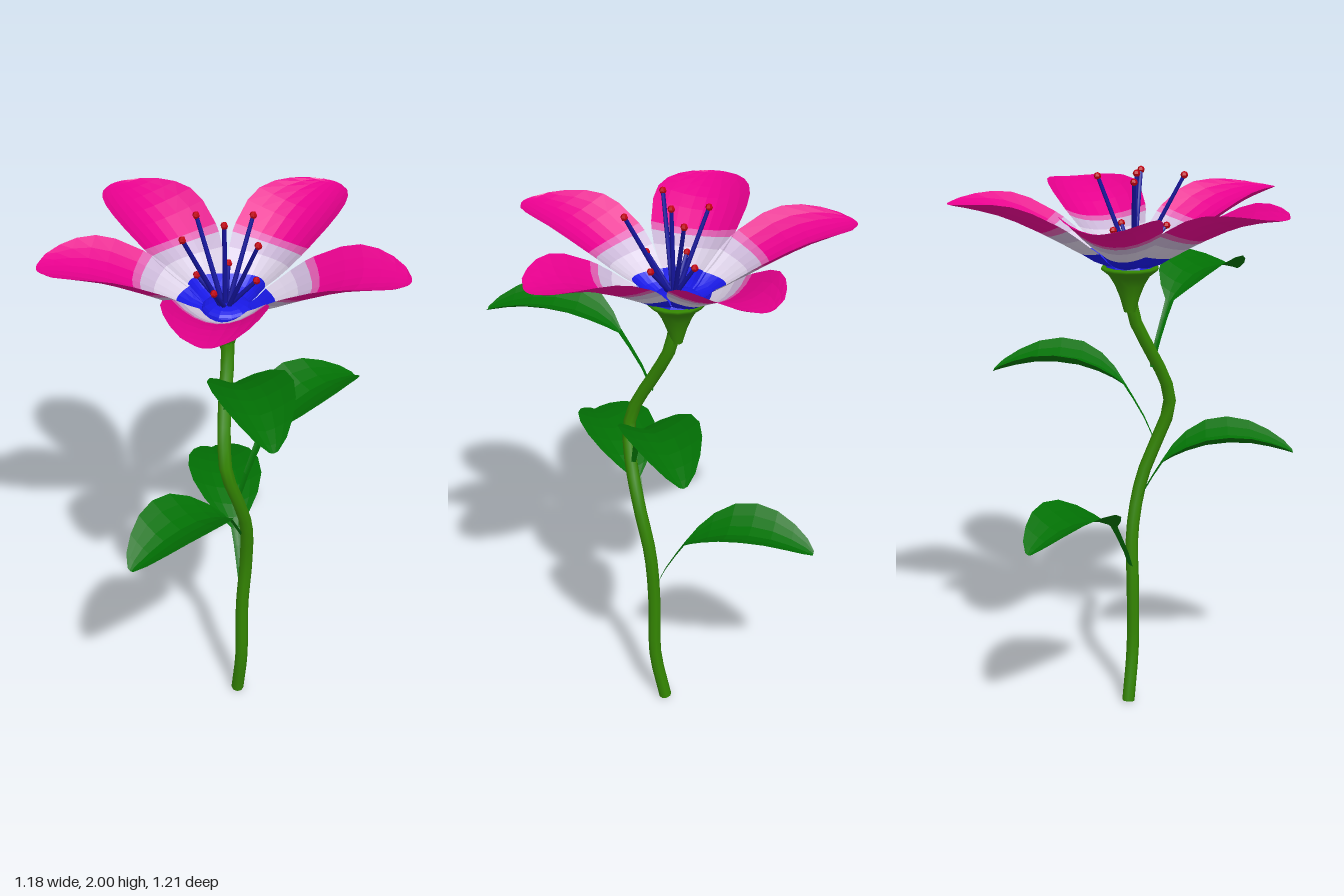
import * as THREE from 'three';

const mat = (name, color, flatShading = true, side = THREE.DoubleSide) =>
  new THREE.MeshStandardMaterial({ name, color, side, flatShading });
const V = (x, y, z) => new THREE.Vector3(x, y, z);

// Surface through rows of points: point(row, u) with u running from -1 to 1
function sheet(rows, cols, point) {
  const pos = [], index = [];
  rows.forEach((row, i) => {
    for (let j = 0; j <= cols; j++) {
      pos.push(...point(row, (j / cols) * 2 - 1));
      if (i && j) {
        const d = i * (cols + 1) + j, c = d - 1, b = d - cols - 1, a = b - 1;
        index.push(a, c, b, b, c, d);
      }
    }
  });
  const g = new THREE.BufferGeometry();
  g.setAttribute('position', new THREE.Float32BufferAttribute(pos, 3));
  g.setIndex(index);
  g.computeVertexNormals();
  return g;
}

export function createModel() {
  const model = new THREE.Group();
  model.name = 'flower';
  const green = mat('stemGreen', 0x348602, false, THREE.FrontSide);
  const leafGreen = mat('leafGreen', 0x027004);
  const magenta = mat('petalMagenta', 0xe8008e);
  const pink = mat('petalPink', 0xdc5cae);
  const lilac = mat('petalLilac', 0xc8b5d5);
  const pale = mat('petalPale', 0xd9cee4);
  const blue = mat('petalBlue', 0x1818e4);
  const navy = mat('stamenBlue', 0x14149c, false, THREE.FrontSide);
  const red = mat('antherRed', 0xc00010, true, THREE.FrontSide);
  const add = (parent, name, geo, material) => {
    const m = new THREE.Mesh(geo, material);
    m.name = name;
    parent.add(m);
    return m;
  };

  // Winding stem
  const path = new THREE.CatmullRomCurve3([
    V(-0.006, 0, 0.063), V(-0.018, 0.2, 0.098), V(-0.018, 0.45, 0.1), V(-0.014, 0.66, 0.115),
    V(-0.045, 0.86, 0.147), V(-0.105, 1.02, 0.16), V(-0.143, 1.13, 0.155), V(-0.135, 1.22, 0.133),
    V(-0.08, 1.36, 0.075), V(-0.03, 1.48, 0.033), V(-0.014, 1.6, 0.013),
  ]);
  add(model, 'stem', new THREE.TubeGeometry(path, 24, 0.023, 8), green);
  const foot = add(model, 'stemEnd', new THREE.CircleGeometry(0.023, 8), green);
  foot.rotation.x = Math.PI / 2;
  foot.position.set(-0.006, 0.001, 0.063);

  // Leaves with their flat stalks: [distance, height, half width]
  const leafRows = [
    [0, 0, 0.008], [0.04, 0.09, 0.012], [0.08, 0.16, 0.014], [0.115, 0.215, 0.018],
    [0.15, 0.238, 0.06], [0.2, 0.262, 0.1], [0.27, 0.285, 0.128], [0.35, 0.295, 0.132],
    [0.43, 0.293, 0.115], [0.5, 0.28, 0.085], [0.555, 0.265, 0.05], [0.585, 0.255, 0.015],
  ];
  const leafGeo = sheet(leafRows, 6, ([s, y, w], u) =>
    [u * w, y + 0.42 * w * Math.abs(u) ** 1.5, s]);
  // base point and the horizontal direction of each tip
  [
    [V(-0.018, 0.5, 0.098), 0.295, -0.5],
    [V(-0.008, 0.71, 0.125), -0.58, 0.055],
    [V(-0.092, 0.995, 0.155), 0.59, -0.025],
    [V(-0.086, 1.295, 0.08), -0.255, 0.5],
  ].forEach(([base, dx, dz], i) => {
    const leaf = add(model, 'leaf' + (i + 1), leafGeo, leafGreen);
    leaf.position.copy(base);
    leaf.rotation.y = Math.atan2(dx, dz);
  });

  const head = new THREE.Group();
  head.name = 'flowerHead';
  head.position.set(-0.016, 0, 0.013);
  model.add(head);

  // Green cup under the petals
  const cup = [[0.02, 1.51], [0.034, 1.56], [0.052, 1.605], [0.072, 1.638], [0.1, 1.66], [0.098, 1.668], [0, 1.67]];
  add(head, 'calyx', new THREE.LatheGeometry(cup.map(p => new THREE.Vector2(...p)), 14), green);

  // Petals, cut into lobed colour bands: [distance, height, half width, how far the edges fall back]
  const blueEnd = [0.168, 1.715, 0.077, 0.06];
  const paleEnd = [0.24, 1.755, 0.123, 0.064];
  const lilacEnd = [0.285, 1.779, 0.142, 0.066];
  const pinkEnd = [0.31, 1.792, 0.15, 0.064];
  const bands = [
    ['petalBase', blue, [[0.02, 1.669, 0.018, 0], [0.08, 1.672, 0.046, 0.02], [0.125, 1.689, 0.06, 0.042], blueEnd]],
    ['petalInnerBand', pale, [blueEnd, [0.205, 1.735, 0.102, 0.062], paleEnd]],
    ['petalMiddleBand', lilac, [paleEnd, lilacEnd]],
    ['petalOuterBand', pink, [lilacEnd, pinkEnd]],
    ['petalBlade', magenta, [pinkEnd, [0.39, 1.83, 0.165, 0.055], [0.45, 1.853, 0.163, 0.05],
      [0.51, 1.869, 0.146, 0.045], [0.56, 1.88, 0.118, 0.036], [0.6, 1.887, 0.08, 0.024], [0.617, 1.891, 0.035, 0.01]]],
  ].map(([name, material, rows]) => [name, material, sheet(rows, 8, ([s, y, w, fall], u) =>
    [u * w, y + 1.9 * w * w * u * u, s - fall * u * u])]);
  // angles measured clockwise from the back
  [3, 79, 153, 227.5, 299].forEach((deg, i) => {
    const petal = new THREE.Group();
    petal.name = 'petal' + (i + 1);
    petal.rotation.y = Math.PI - THREE.MathUtils.degToRad(deg);
    bands.forEach(([name, material, geo]) => add(petal, name, geo, material));
    head.add(petal);
  });

  // Domed centre
  const hub = add(head, 'centre', new THREE.SphereGeometry(0.085, 12, 6, 0, Math.PI * 2, 0, Math.PI / 2), blue);
  hub.scale.y = 0.35;
  hub.position.y = 1.671;

  // Stamens: tips of the long outer ones, the middle one and the short ones
  [
    [-0.184, 1.985, -0.003], [0.111, 1.975, 0.005], [-0.027, 1.975, -0.118], [-0.019, 1.975, 0.17], [-0.021, 1.985, 0.012],
    [-0.079, 1.8, -0.058], [0.051, 1.8, -0.048], [0.041, 1.8, 0.099], [-0.119, 1.8, 0.072],
  ].forEach((p, i) => {
    const tip = V(...p), base = V(p[0] * 0.1 - 0.01, 1.69, p[2] * 0.1 + 0.006);
    const stamen = new THREE.Group();
    stamen.name = 'stamen' + (i + 1);
    const dir = tip.clone().sub(base);
    const rod = add(stamen, 'filament', new THREE.CylinderGeometry(0.007, 0.009, dir.length(), 6), navy);
    rod.position.copy(base).add(tip).multiplyScalar(0.5);
    rod.quaternion.setFromUnitVectors(V(0, 1, 0), dir.normalize());
    add(stamen, 'anther', new THREE.SphereGeometry(0.013, 6, 4), red).position.copy(tip);
    head.add(stamen);
  });
  return model;
}
